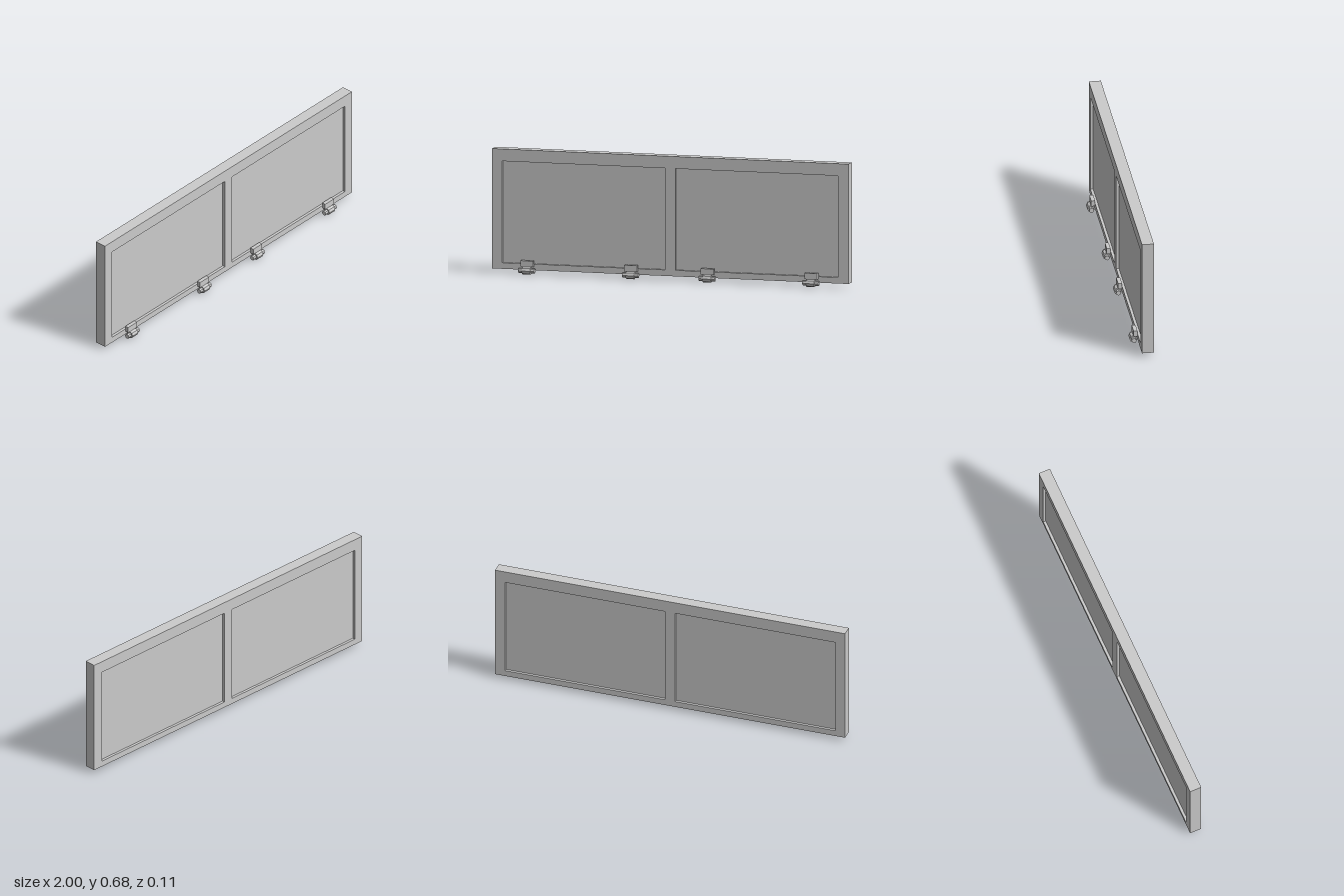
import * as THREE from 'three';

const material = new THREE.MeshStandardMaterial({ color: 0xcccccc, flatShading: true });

function addMesh(parent, name, geometry, x, y, z) {
  const mesh = new THREE.Mesh(geometry, material);
  mesh.name = name;
  mesh.position.set(x, y, z);
  parent.add(mesh);
  return mesh;
}

// Rectangle outline from its edges
function trace(path, x0, x1, y0, y1) {
  path.moveTo(x0, y0);
  path.lineTo(x1, y0);
  path.lineTo(x1, y1);
  path.lineTo(x0, y1);
  path.closePath();
  return path;
}

// Hinge: mounting block above an eight-sided knuckle with a protruding pin
function createHinge(x) {
  const hinge = new THREE.Group();
  hinge.name = 'hinge';
  hinge.position.x = x;
  addMesh(hinge, 'hingeBlock', new THREE.BoxGeometry(0.072, 0.033, 0.021), 0, 0.0585, 0.0235);
  for (const [name, radius, length] of [['hingeKnuckle', 0.021, 0.046], ['hingePin', 0.0135, 0.09]]) {
    const geometry = new THREE.CylinderGeometry(radius, radius, length, 8).rotateZ(Math.PI / 2);
    addMesh(hinge, name, geometry, 0, 0.0215, 0.0325);
  }
  return hinge;
}

export function createModel() {
  const model = new THREE.Group();
  model.name = 'hingedPanel';

  const back = -0.0525, front = 0.0125, recess = 0.015;
  const bottom = 0.056, top = 0.61;
  const openings = [[-0.945, -0.03], [0.028, 0.942]];

  // Outer frame with two window openings
  const outline = trace(new THREE.Shape(), -1, 1, 0.023, 0.676);
  for (const [x0, x1] of openings) {
    outline.holes.push(trace(new THREE.Path(), x0, x1, bottom, top));
  }
  const frame = new THREE.ExtrudeGeometry(outline, { depth: front - back, bevelEnabled: false });
  addMesh(model, 'frame', frame, 0, 0, back);

  // Panels set back from both faces of the frame
  for (const [x0, x1] of openings) {
    const panel = new THREE.BoxGeometry(x1 - x0, top - bottom, front - back - 2 * recess);
    addMesh(model, 'insetPanel', panel, (x0 + x1) / 2, (top + bottom) / 2, (front + back) / 2);
  }

  // Hinges along the bottom edge
  for (const x of [-0.8, -0.217, 0.213, 0.795]) model.add(createHinge(x));

  return model;
}
